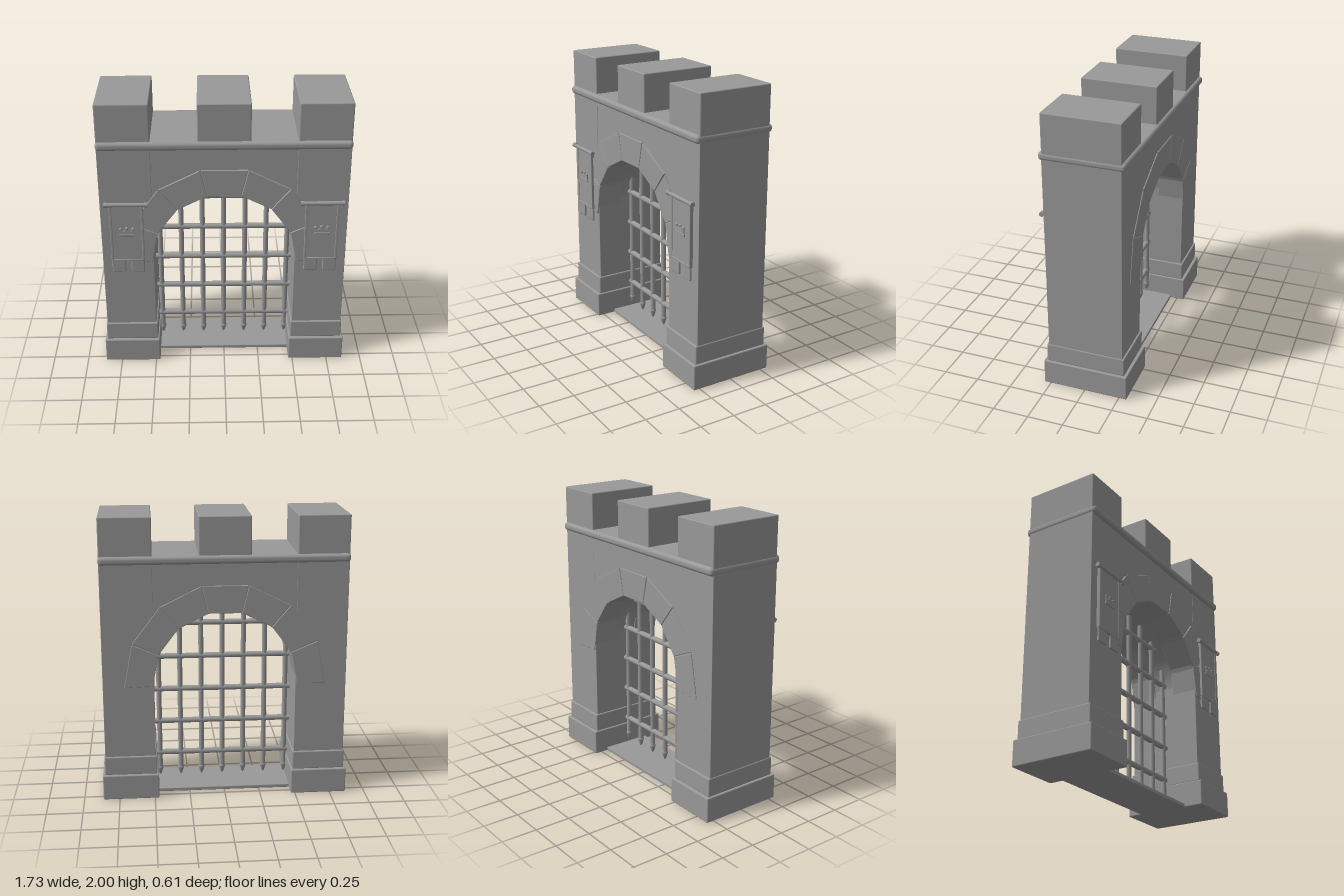
import * as THREE from 'three';
import { RoundedBoxGeometry } from 'three/addons/geometries/RoundedBoxGeometry.js';

const stone = new THREE.MeshStandardMaterial({ color: 0x999999 });
stone.name = 'grey stone';

export function createModel() {
  const model = new THREE.Group();
  model.name = 'castleGate';
  const ZC = -0.005; // middle of the wall's thickness

  const add = (parent, name, geometry, x = 0, y = 0, z = 0) => {
    const mesh = new THREE.Mesh(geometry, stone);
    mesh.name = name;
    mesh.position.set(x, y, z);
    parent.add(mesh);
    return mesh;
  };
  // softened block given by its limits
  const block = (parent, name, x0, x1, y0, y1, z0, z1, r = 0.008) =>
    add(parent, name, new RoundedBoxGeometry(x1 - x0, y1 - y0, z1 - z0, 2, r),
      (x0 + x1) / 2, (y0 + y1) / 2, (z0 + z1) / 2);
  const sided = (parent, name, s, x0, x1, ...rest) =>
    block(parent, name, s > 0 ? x0 : -x1, s > 0 ? x1 : -x0, ...rest);
  const rod = (parent, name, r, length, x, y, z, horizontal) => {
    const mesh = add(parent, name, new THREE.CylinderGeometry(r, r, length, 12), x, y, z);
    if (horizontal) mesh.rotation.z = Math.PI / 2;
    return mesh;
  };

  // towers with stepped plinths and corner merlons
  for (const s of [1, -1]) {
    const tower = new THREE.Group();
    tower.name = s > 0 ? 'leftTower' : 'rightTower';
    model.add(tower);
    sided(tower, 'plinth', s, 0.47, 0.865, 0, 0.18, -0.305, 0.297);
    sided(tower, 'plinthStep', s, 0.48, 0.85, 0.178, 0.312, -0.284, 0.276);
    sided(tower, 'shaft', s, 0.49, 0.845, 0.28, 1.72, -0.27, 0.262, 0.003);
    sided(tower, 'merlon', s, 0.49, 0.845, 1.72, 2, -0.272, 0.262);
  }
  block(model, 'middleMerlon', -0.178, 0.178, 1.72, 2, -0.272, 0.262);

  // round-edged cornice
  block(model, 'cornice', -0.85, 0.85, 1.68, 1.738, -0.295, 0.287, 0.024);

  // wall above the arched opening
  const SPRING = 0.85, INNER = 0.497, OUTER = 0.685;
  const wall = new THREE.Shape();
  wall.moveTo(0.52, SPRING);
  wall.lineTo(0.52, 1.7);
  wall.lineTo(-0.52, 1.7);
  wall.lineTo(-0.52, SPRING);
  wall.lineTo(-INNER, SPRING);
  wall.absarc(0, SPRING, INNER, Math.PI, 0, true);
  add(model, 'archWall', new THREE.ExtrudeGeometry(wall,
    { depth: 0.528, bevelEnabled: false, curveSegments: 32 }), 0, 0, ZC - 0.264);

  // wedge stones around the arch, front and back
  const STEP = 26.5 * Math.PI / 180;
  const half = STEP / 2 - 0.006;
  const wedge = new THREE.Shape();
  [[-1, INNER], [1, INNER], [1, OUTER], [-1, OUTER]].forEach(([s, r], i) => {
    const x = s * Math.sin(half) * r;
    const y = r === INNER ? 0.49 : 0.677;
    if (i) wedge.lineTo(x, y); else wedge.moveTo(x, y);
  });
  wedge.closePath();
  const wedgeGeometry = new THREE.ExtrudeGeometry(wedge, {
    depth: 0.19, bevelEnabled: true, bevelSize: 0.003, bevelThickness: 0.003, bevelSegments: 1,
  });
  for (const z of [0.078, -0.273]) {
    for (let i = -3; i <= 3; i++) {
      add(model, 'archStone', wedgeGeometry, 0, SPRING, z).rotation.z = i * STEP;
    }
  }

  // portcullis
  const gate = new THREE.Group();
  gate.name = 'portcullis';
  model.add(gate);
  const spike = new THREE.LatheGeometry([[0, 0.045], [0.01, 0.06], [0.022, 0.098], [0.022, 0.108],
    [0.016, 0.118]].map(([r, y]) => new THREE.Vector2(r, y)), 12);
  for (let i = -3; i <= 3; i++) {
    const x = i * 0.152;
    const top = SPRING + Math.sqrt(0.51 ** 2 - x * x);
    rod(gate, 'verticalBar', 0.018, top - 0.11, x, (top + 0.11) / 2, 0);
    add(gate, 'barSpike', spike, x);
  }
  for (let i = 0; i < 5; i++) {
    const y = 0.225 + i * 0.245;
    const reach = y > 1.1 ? 0.4 : 0.49;
    rod(gate, 'crossBar', 0.02, reach * 2, 0, y, 0, true);
  }
  block(model, 'threshold', -0.48, 0.48, 0, 0.025, -0.2, 0.16, 0.004);

  // hanging banners with a small crown ornament
  const crown = new THREE.Shape();
  [[-0.045, 0], [0.045, 0], [0.05, 0.04], [0.027, 0.02], [0, 0.045], [-0.027, 0.02], [-0.05, 0.04]]
    .forEach(([x, y], i) => (i ? crown.lineTo(x, y) : crown.moveTo(x, y)));
  const crownGeometry = new THREE.ExtrudeGeometry(crown, { depth: 0.008, bevelEnabled: false });
  for (const s of [1, -1]) {
    const banner = new THREE.Group();
    banner.name = s > 0 ? 'leftBanner' : 'rightBanner';
    banner.position.x = s * 0.667;
    model.add(banner);
    rod(banner, 'bannerRod', 0.014, 0.27, 0, 1.288, 0.29, true);
    for (const e of [1, -1]) {
      rod(banner, 'rodCap', 0.017, 0.022, e * 0.138, 1.288, 0.29, true);
      block(banner, 'bannerEdge', e * 0.107 - 0.008, e * 0.107 + 0.008, 0.85, 1.275, 0.262, 0.289, 0.004);
      block(banner, 'bannerTail', e * 0.066 - 0.047, e * 0.066 + 0.047, 0.753, 0.855, 0.266, 0.284, 0.008);
    }
    block(banner, 'bannerCloth', -0.11, 0.11, 0.845, 1.285, 0.262, 0.284, 0.004);
    block(banner, 'bannerHem', -0.113, 0.113, 0.845, 0.86, 0.262, 0.288, 0.004);
    add(banner, 'crown', crownGeometry, 0, 1.06, 0.283);
    block(banner, 'crownBand', -0.052, 0.052, 1.042, 1.06, 0.28, 0.293, 0.003);
    for (const x of [-0.042, 0, 0.042]) {
      add(banner, 'crownPearl', new THREE.SphereGeometry(0.011, 10, 8), x, x ? 1.1 : 1.106, 0.286);
    }
  }
  return model;
}
